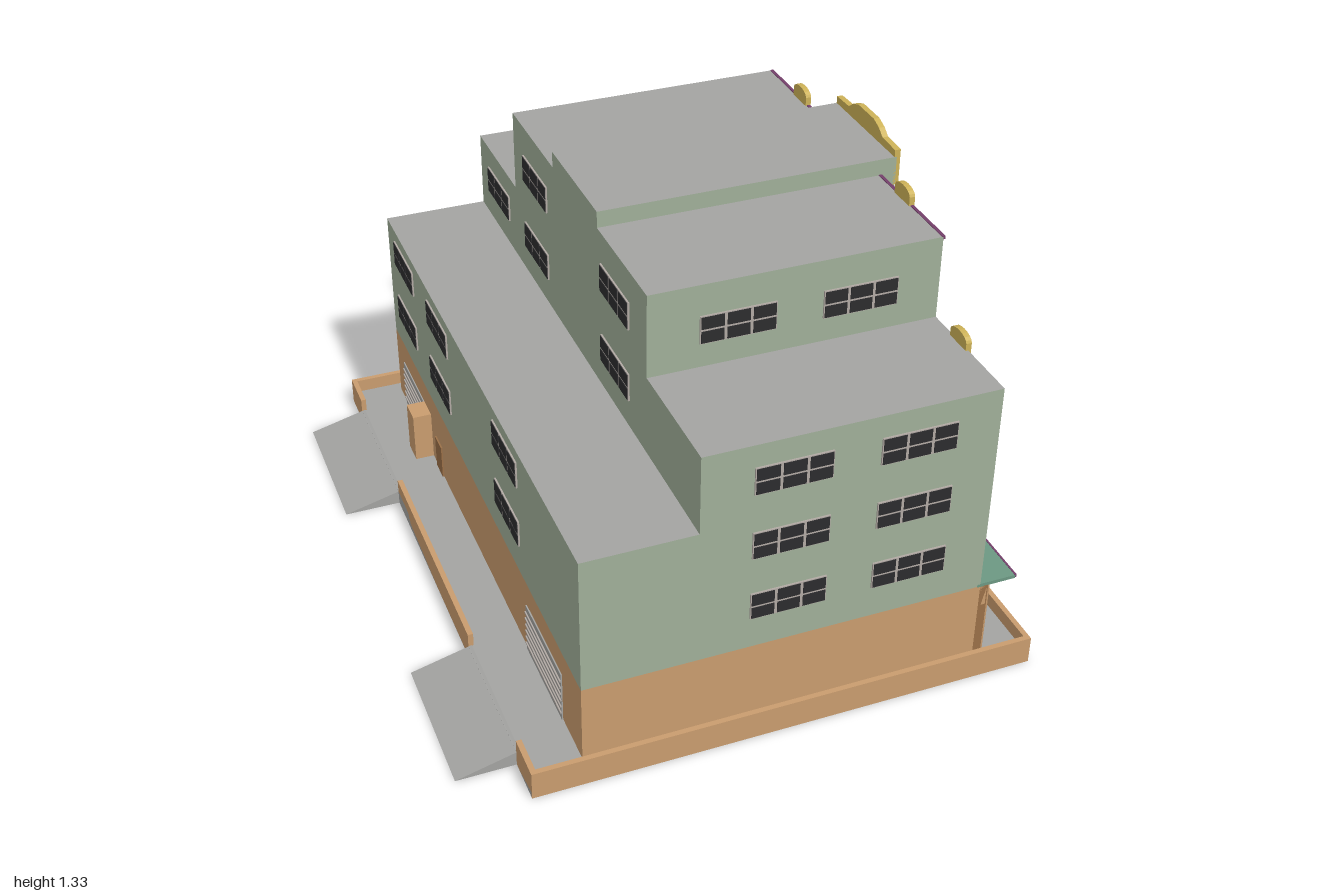
import * as THREE from 'three';

const mat = (name, color) => Object.assign(new THREE.MeshStandardMaterial({ color }), { name });

export function createModel() {
  const M = {
    green: mat('sage wall', 0xa0af99),
    brown: mat('tan stone', 0xc99c6e),
    darkBrown: mat('dark stone', 0x9a7048),
    grey: mat('concrete', 0xa3a3a1),
    yellow: mat('gold trim', 0xcdb258),
    teal: mat('teal ledge', 0x6c9883),
    dark: mat('dark glass', 0x2c2c2e),
    pale: mat('pale trim', 0xb1a9a3),
    purple: mat('purple tubing', 0x74406a),
  };
  const root = new THREE.Group();
  root.name = 'hotel';

  // box from its limits on each axis
  function box(parent, name, m, x0, x1, y0, y1, z0, z1) {
    const mesh = new THREE.Mesh(new THREE.BoxGeometry(x1 - x0, y1 - y0, z1 - z0), m);
    mesh.position.set((x0 + x1) / 2, (y0 + y1) / 2, (z0 + z1) / 2);
    mesh.name = name;
    parent.add(mesh);
    return mesh;
  }
  // green block with a grey roof on top
  function block(name, x0, x1, y0, y1, z0, z1) {
    const side = M.green;
    const mesh = box(root, name, M.green, x0, x1, y0, y1, z0, z1);
    mesh.material = [side, side, M.grey, side, side, side];
  }
  // group whose local +z points along the given compass angle
  function facing(name, angle) {
    const g = new THREE.Group();
    g.name = name;
    g.rotation.y = angle;
    root.add(g);
    return g;
  }
  // extruded outline standing at depth w in a facing group
  function plate(parent, name, m, points, w, depth) {
    const shape = new THREE.Shape(points.map(([u, v]) => new THREE.Vector2(u, v)));
    const geo = new THREE.ExtrudeGeometry(shape, { depth, bevelEnabled: false });
    const mesh = new THREE.Mesh(geo, m);
    mesh.position.z = w;
    mesh.name = name;
    parent.add(mesh);
  }
  // window of three by two panes
  function windowUnit(parent, u, v, w, glass = M.dark) {
    const g = new THREE.Group();
    g.name = 'window';
    g.position.set(u, v, w);
    parent.add(g);
    box(g, 'windowFrame', M.pale, -0.111, 0.111, -0.043, 0.043, -0.004, 0.004);
    for (let i = -1; i <= 1; i++) {
      for (const [a, b] of [[-0.04, -0.004], [0.003, 0.04]]) {
        box(g, 'pane', glass, i * 0.075 - 0.033, i * 0.075 + 0.033, a, b, 0.002, 0.006);
      }
    }
  }

  // terrace slab and low perimeter wall with openings for stairs and ramps
  box(root, 'terrace', M.grey, -0.7, 0.8, 0, 0.045, -0.995, 0.995);
  const H = 0.088, T = 0.016;
  for (const s of [-1, 1]) {
    box(root, 'sideWall', M.brown, -0.7, 0.81, 0.001, H, s > 0 ? 1 - T : -1, s > 0 ? 1 : -1 + T);
    box(root, 'frontWall', M.brown, 0.81 - T, 0.81, 0.001, H, s > 0 ? 0.14 : -1, s > 0 ? 1 : -0.14);
    box(root, 'stairCheek', M.brown, 0.8, 0.87, 0.001, H, s * 0.146 - 0.006, s * 0.146 + 0.006);
  }
  for (const [a, b] of [[-1, -0.865], [-0.38, 0.41], [0.865, 1]]) {
    box(root, 'backWall', M.brown, -0.7, -0.7 + T, 0.001, H, a, b);
  }
  for (let i = 0; i < 5; i++) {
    box(root, 'step', M.grey, 0.785, 0.868 - i * 0.014, i * 0.011, (i + 1) * 0.011, -0.14, 0.14);
  }
  for (const [a, b] of [[-0.865, -0.38], [0.41, 0.865]]) {
    const ramp = new THREE.Group();
    ramp.name = 'ramp';
    ramp.position.z = a;
    plate(ramp, 'rampWedge', M.grey, [[-0.875, 0], [-0.69, 0], [-0.69, 0.047]], 0, b - a);
    root.add(ramp);
  }

  // building masses
  box(root, 'groundFloor', M.brown, -0.54, 0.655, 0.04, 0.291, -0.95, 0.95);
  block('rearWing', -0.54, -0.2, 0.291, 0.72, -0.95, 0.95);
  block('mainBlock', -0.21, 0.65, 0.291, 0.963, -0.95, 0.95);
  block('upperBlock', -0.21, 0.65, 0.96, 1.218, -0.57, 0.57);
  block('centreBay', -0.21, 0.7, 0.3, 1.268, -0.19, 0.19);

  // side windows
  const rows = [0.435, 0.64, 0.85];
  for (const s of [1, -1]) {
    const side = facing(s > 0 ? 'leftSide' : 'rightSide', s > 0 ? 0 : Math.PI);
    for (const x of [0.05, 0.41]) {
      for (const y of rows) windowUnit(side, s * x, y, 0.951);
      windowUnit(side, s * x, 1.08, 0.571);
    }
    if (s < 0) for (const y of [0.435, 0.64]) windowUnit(side, 0.325, y, 0.951);
  }

  // rear windows, garage doors and service door
  const rear = facing('rear', -Math.PI / 2);
  for (const z of [-0.75, -0.36, 0.33]) {
    for (const y of [0.435, 0.64]) windowUnit(rear, z, y, 0.541);
    windowUnit(rear, z, 0.85, 0.211);
    if (z > -0.5) windowUnit(rear, z, 1.08, 0.211);
  }
  for (const [a, b] of [[-0.86, -0.61], [0.48, 0.79]]) {
    box(rear, 'garageDoor', M.grey, a, b, 0.045, 0.21, 0.536, 0.544);
    for (let i = 1; i < 7; i++) {
      box(rear, 'doorSlat', M.pale, a, b, 0.045 + i * 0.023, 0.05 + i * 0.023, 0.54, 0.548);
    }
  }
  box(rear, 'serviceBlock', M.brown, -0.61, -0.53, 0.045, 0.21, 0.53, 0.6);
  box(rear, 'serviceDoor', M.darkBrown, -0.475, -0.405, 0.045, 0.16, 0.536, 0.545);

  // street facade
  const f = facing('facade', Math.PI / 2);
  for (const s of [-1, 1]) {
    for (const [c, top, floors, ledge] of [[0.71, 1.005, rows, 0.16], [0.34, 1.265, [...rows, 1.08], 0.125]]) {
      const u = s * c;
      // gold pilaster with rounded head and pale centre band
      const outline = [[u - 0.044, 0.3], [u + 0.044, 0.3]];
      for (let i = 0; i <= 8; i++) {
        const a = Math.PI * i / 8;
        outline.push([u + 0.044 * Math.cos(a), top - 0.02 + 0.02 * Math.sin(a)]);
      }
      plate(f, 'pilaster', M.yellow, outline, 0.642, 0.017);
      box(f, 'pilasterBand', M.pale, u - 0.014, u + 0.014, 0.3, top - 0.005, 0.655, 0.661);
      for (const y of floors) {
        windowUnit(f, u, y, 0.664);
        box(f, 'ledge', M.teal, u - ledge, u + ledge, y + 0.056, y + 0.066, 0.645, 0.683);
      }
    }
    // balcony trough and roof-edge tubing
    const b = s * 0.34;
    box(f, 'balcony', M.grey, b - 0.125, b + 0.125, 0.36, 0.387, 0.645, 0.705);
    box(f, 'balconyInset', M.pale, b - 0.115, b + 0.115, 0.366, 0.381, 0.702, 0.708);
    box(f, 'roofTubing', M.purple, s * 0.38 - 0.19, s * 0.38 + 0.19, 1.21, 1.22, 0.646, 0.656);
  }
  // centre bay windows and gold panels
  for (const y of [...rows, 1.08]) {
    windowUnit(f, 0, y, 0.702, y === 0.435 || y === 1.08 ? M.green : M.dark);
    box(f, 'goldPanel', M.yellow, -0.112, 0.112, y - 0.105, y - 0.052, 0.698, 0.706);
    for (const u of [-0.055, 0.055]) {
      box(f, 'panelInset', M.pale, u - 0.035, u + 0.035, y - 0.085, y - 0.07, 0.703, 0.709);
    }
  }
  box(f, 'centreLedge', M.teal, -0.12, 0.12, 1.165, 1.175, 0.69, 0.73);
  // stepped crest with alternating bands
  plate(f, 'crest', M.yellow, [[-0.19, 1.18], [-0.15, 1.2], [0.15, 1.2], [0.19, 1.18], [0.19, 1.29],
    [0.11, 1.293], [0.085, 1.312], [0.05, 1.325], [-0.05, 1.325], [-0.085, 1.312], [-0.11, 1.293],
    [-0.19, 1.29]], 0.693, 0.018);
  for (const [u, top] of [[-0.125, 1.285], [-0.042, 1.315], [0.042, 1.315], [0.125, 1.285]]) {
    box(f, 'crestBand', M.pale, u - 0.018, u + 0.018, 1.2, top, 0.708, 0.714);
  }

  // canopy with tubing along its edge
  box(f, 'canopy', M.teal, -0.95, 0.95, 0.288, 0.299, 0.64, 0.762);
  box(f, 'canopyTubing', M.purple, -0.95, 0.95, 0.291, 0.3, 0.76, 0.766);

  // shopfronts
  box(f, 'lintel', M.brown, -0.95, 0.95, 0.22, 0.289, 0.65, 0.672);
  for (const u of [-0.71, -0.345, 0.345, 0.71]) {
    box(f, 'shopFrame', M.pale, u - 0.122, u + 0.122, 0.09, 0.206, 0.652, 0.66);
    box(f, 'shopWindow', M.dark, u - 0.11, u + 0.11, 0.105, 0.199, 0.656, 0.664);
  }
  // fluted piers
  for (const s of [-1, 1]) {
    for (const [a, b] of [[0.865, 0.95], [0.49, 0.565], [0.15, 0.205]]) {
      const n = 4, w = (b - a) / n, c = s * (a + b) / 2;
      box(f, 'pier', M.darkBrown, c - (b - a) / 2, c + (b - a) / 2, 0.045, 0.289, 0.65, 0.676);
      for (let i = 0; i < n; i++) {
        const flute = new THREE.Mesh(new THREE.CylinderGeometry(w * 0.46, w * 0.46, 0.244, 10), M.brown);
        flute.position.set(s * (a + w * (i + 0.5)), 0.167, 0.676);
        flute.name = 'flute';
        f.add(flute);
      }
    }
  }
  // entrance
  box(f, 'doorFrame', M.pale, -0.085, 0.085, 0.045, 0.168, 0.652, 0.66);
  for (const [a, b] of [[-0.045, 0], [0.008, 0.04], [0.05, 0.075]]) {
    box(f, 'doorGlass', M.dark, a, b, 0.055, 0.162, 0.657, 0.664);
  }
  return root;
}
